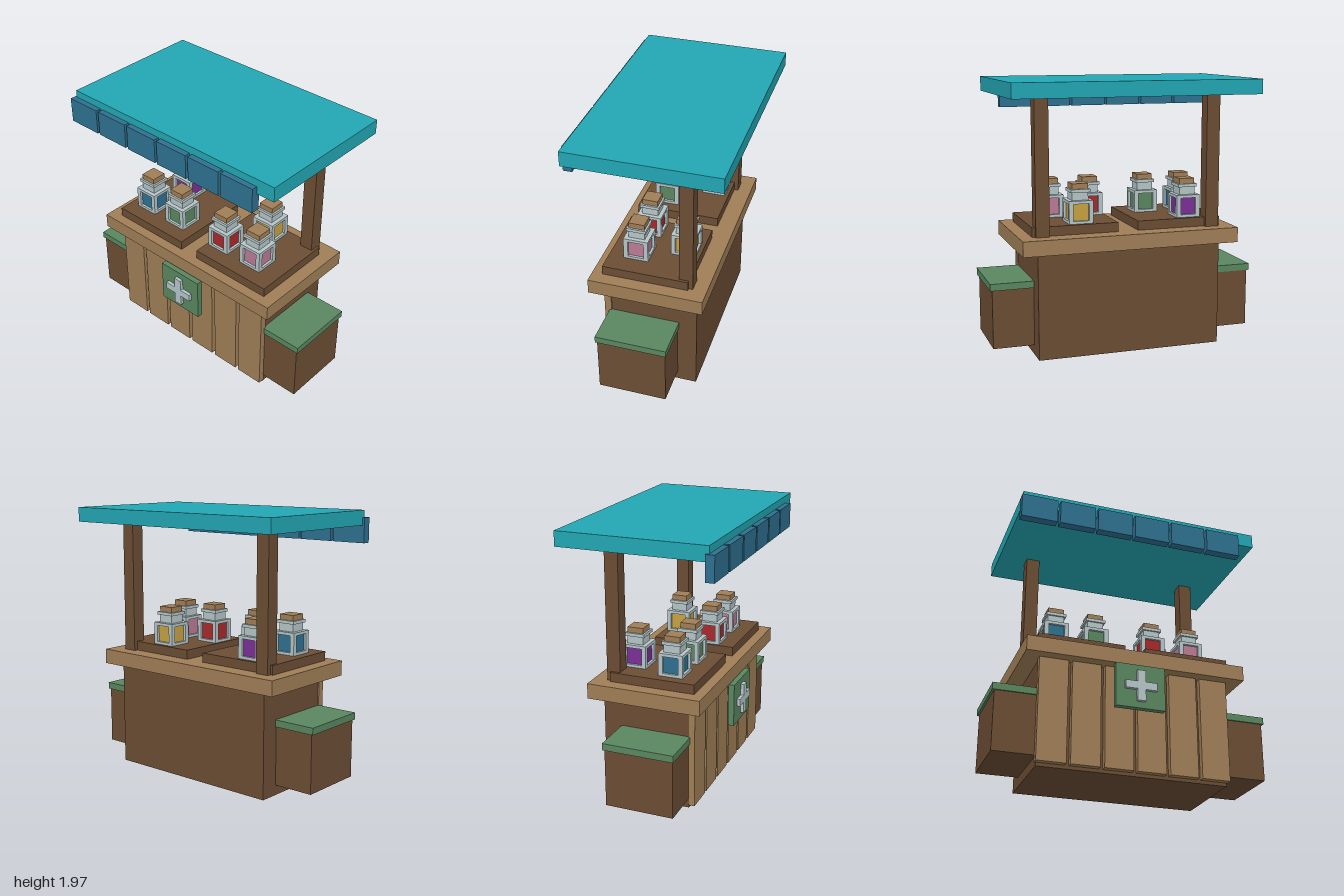
import * as THREE from 'three';

const mat = (name, color) => {
  const m = new THREE.MeshStandardMaterial({ color });
  m.name = name;
  return m;
};

export function createModel() {
  const teal = mat('teal', 0x22a6b3);
  const blue = mat('blue', 0x2e7090);
  const darkWood = mat('dark wood', 0x6b4d34);
  const lightWood = mat('light wood', 0x9f7e56);
  const green = mat('green', 0x59865f);
  const glass = mat('pale glass', 0xb5c5c8);
  const red = mat('red', 0xa8282b);
  const yellow = mat('yellow', 0xc6a141);
  const pink = mat('pink', 0xba7a94);
  const purple = mat('purple', 0x7b2f96);

  const model = new THREE.Group();
  model.name = 'marketStall';

  // Box given by its ranges on each axis
  const box = (parent, name, material, [x0, x1], [y0, y1], [z0, z1]) => {
    const mesh = new THREE.Mesh(new THREE.BoxGeometry(x1 - x0, y1 - y0, z1 - z0), material);
    mesh.position.set((x0 + x1) / 2, (y0 + y1) / 2, (z0 + z1) / 2);
    mesh.name = name;
    parent.add(mesh);
    return mesh;
  };
  const around = (c, w) => [c - w / 2, c + w / 2];

  // Counter body, front planks and worktop
  box(model, 'counterBody', darkWood, [-0.685, 0.685], [0, 0.775], [-0.34, 0.3]);
  for (let i = 0; i < 6; i++) {
    box(model, 'frontPlank', lightWood, around((i - 2.5) * 0.2365, 0.208), [0.025, 0.77], [0.295, 0.345]);
  }
  box(model, 'worktop', lightWood, [-0.805, 0.805], [0.772, 0.882], [-0.41, 0.42]);

  // Sign with a raised cross
  box(model, 'signBoard', green, [-0.18, 0.18], [0.44, 0.76], [0.405, 0.45]);
  box(model, 'crossUpright', glass, [-0.03, 0.03], [0.487, 0.713], [0.445, 0.475]);
  for (const s of [-1, 1]) {
    box(model, 'crossArm', glass, around(s * 0.0725, 0.085), [0.572, 0.628], [0.445, 0.475]);
  }

  // Mirrored crates, trays and posts
  for (const s of [-1, 1]) {
    box(model, 'sideCrate', darkWood, around(s * 0.83, 0.31), [0.073, 0.5], [-0.2, 0.3]);
    box(model, 'crateLid', green, around(s * 0.84, 0.32), [0.5, 0.55], [-0.21, 0.31]);
    box(model, 'tray', darkWood, around(s * 0.3925, 0.635), [0.882, 0.95], [-0.28, 0.345]);
    box(model, 'post', darkWood, around(s * 0.64, 0.1), [0.882, 1.862], [-0.31, -0.21]);
  }

  // Roof and hanging valance flaps
  box(model, 'roof', teal, [-0.9, 0.9], [1.86, 1.967], [-0.562, 0.515]);
  for (let i = 0; i < 6; i++) {
    box(model, 'valanceFlap', blue, around(-0.785 + i * 0.283, 0.263), [1.734, 1.914], [0.493, 0.557]);
  }

  // Jar: framed glass with recessed filling, neck, rim and cork
  const addJar = (x, z, filling) => {
    const jar = new THREE.Group();
    jar.name = 'jar';
    jar.position.set(x, 0.95, z);
    box(jar, 'jarBase', glass, [-0.09, 0.09], [0, 0.02], [-0.09, 0.09]);
    box(jar, 'jarShoulder', glass, [-0.09, 0.09], [0.143, 0.165], [-0.09, 0.09]);
    for (const sx of [-1, 1]) for (const sz of [-1, 1]) {
      box(jar, 'jarCorner', glass, around(sx * 0.074, 0.032), [0.02, 0.143], around(sz * 0.074, 0.032));
    }
    box(jar, 'filling', filling, [-0.072, 0.072], [0.02, 0.143], [-0.072, 0.072]);
    box(jar, 'jarNeck', glass, [-0.06, 0.06], [0.165, 0.225], [-0.06, 0.06]);
    box(jar, 'jarRim', glass, [-0.072, 0.072], [0.222, 0.245], [-0.072, 0.072]);
    box(jar, 'cork', lightWood, [-0.058, 0.058], [0.245, 0.285], [-0.058, 0.058]);
    model.add(jar);
  };
  addJar(-0.55, 0.143, blue);
  addJar(-0.255, 0.143, green);
  addJar(-0.475, -0.163, purple);
  addJar(0.18, 0.143, red);
  addJar(0.48, 0.143, pink);
  addJar(0.343, -0.163, yellow);

  return model;
}
